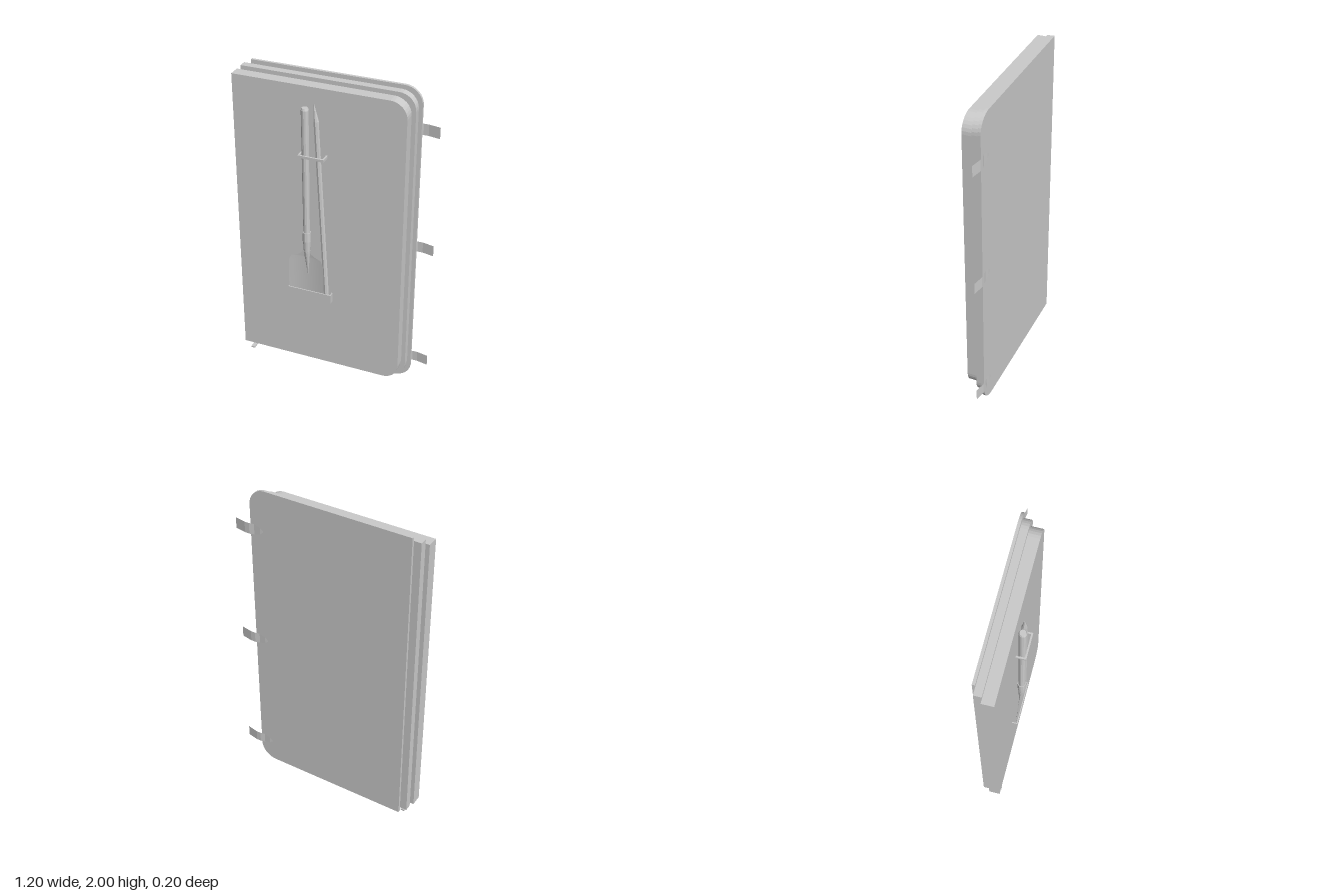
import * as THREE from 'three';

const grey = new THREE.MeshStandardMaterial({ color: 0xcccccc, flatShading: true, side: THREE.DoubleSide });
const smooth = new THREE.MeshStandardMaterial({ color: 0xcccccc, side: THREE.DoubleSide });

function add(parent, name, geometry, material = grey) {
  const mesh = new THREE.Mesh(geometry, material);
  mesh.name = name;
  parent.add(mesh);
  return mesh;
}

// Box given by its limits on each axis
function box(parent, name, x0, x1, y0, y1, z0, z1) {
  const mesh = add(parent, name, new THREE.BoxGeometry(x1 - x0, y1 - y0, z1 - z0));
  mesh.position.set((x0 + x1) / 2, (y0 + y1) / 2, (z0 + z1) / 2);
  return mesh;
}

// Door slab: square on the free side, rounded on the hinge side
function slab(parent, name, x0, x1, y0, y1, z0, z1, r) {
  const s = new THREE.Shape();
  s.moveTo(x0, y0);
  s.lineTo(x1 - r, y0);
  s.absarc(x1 - r, y0 + r, r, -Math.PI / 2, 0, false);
  s.absarc(x1 - r, y1 - r, r, 0, Math.PI / 2, false);
  s.lineTo(x0, y1);
  const g = new THREE.ExtrudeGeometry(s, { depth: z1 - z0, bevelEnabled: false, curveSegments: 4 });
  add(parent, name, g.translate(0, 0, z0));
}

// Three-sided strap standing off the door face
function strap(parent, name, x0, x1, y0, y1, zFront, t) {
  const g = new THREE.Group();
  g.name = name;
  box(g, name + 'Front', x0, x1, y0, y1, zFront - t, zFront);
  box(g, name + 'Right', x0, x0 + t, y0, y1, 0.035, zFront - t);
  box(g, name + 'Left', x1 - t, x1, y0, y1, 0.035, zFront - t);
  parent.add(g);
}

// Tapered rod between two points
function rod(parent, name, a, b, ra, rb, sides = 12) {
  const p = new THREE.Vector3(...a), q = new THREE.Vector3(...b);
  const d = q.clone().sub(p);
  const mesh = add(parent, name, new THREE.CylinderGeometry(rb, ra, d.length(), sides));
  mesh.position.copy(p).add(q).multiplyScalar(0.5);
  mesh.quaternion.setFromUnitVectors(new THREE.Vector3(0, 1, 0), d.normalize());
  return mesh;
}

// Curved hinge leaf with a pointed inner end
function hinge(parent, y) {
  const path = [[0.41, -0.096, 0.004], [0.43, -0.098, 0.022], [0.47, -0.097, 0.034],
    [0.5, -0.104, 0.035], [0.53, -0.104, 0.035], [0.565, -0.097, 0.035], [0.6, -0.09, 0.035]];
  const g = new THREE.PlaneGeometry(1, 1, path.length - 1, 1);
  const p = g.attributes.position;
  for (let i = 0; i < p.count; i++) {
    const [x, z, h] = path[i % path.length];
    p.setXYZ(i, x, y + Math.sign(p.getY(i)) * h, z);
  }
  g.computeVertexNormals();
  add(parent, 'hinge', g);
}

function shovel(parent) {
  const g = new THREE.Group();
  g.name = 'shovel';
  const x = -0.138;
  rod(g, 'handle', [x, 0.98, 0.068], [x, 1.82, 0.07], 0.02, 0.023);
  rod(g, 'handleEnd', [x, 1.82, 0.07], [x, 1.833, 0.07], 0.023, 0.018);
  rod(g, 'collar', [x, 0.96, 0.068], [x, 1.02, 0.068], 0.025, 0.024);
  rod(g, 'socket', [x, 0.88, 0.068], [x, 0.97, 0.068], 0.019, 0.024);
  rod(g, 'socketTip', [x, 0.71, 0.056], [x, 0.89, 0.068], 0.002, 0.02);
  // Dished blade: [height, half width, depth]
  const rows = [[0.89, 0.018, 0.068], [0.865, 0.032, 0.066], [0.845, 0.062, 0.064],
    [0.835, 0.095, 0.063], [0.8, 0.111, 0.062], [0.68, 0.115, 0.057], [0.55, 0.117, 0.053]];
  const n = 8;
  const blade = new THREE.PlaneGeometry(2, 1, n, rows.length - 1);
  const p = blade.attributes.position;
  for (let i = 0; i < p.count; i++) {
    const [y, w, z] = rows[Math.floor(i / (n + 1))];
    const u = p.getX(i);
    p.setXYZ(i, x - 0.008 + u * w, y, z + 0.8 * (u * w) ** 2);
  }
  blade.computeVertexNormals();
  add(g, 'blade', blade, smooth);
  parent.add(g);
}

export function createModel() {
  const model = new THREE.Group();
  model.name = 'door';

  // Stepped door panels
  slab(model, 'frontPanel', -0.6, 0.45, 0.055, 1.95, -0.03, 0.04, 0.1);
  slab(model, 'middlePanel', -0.575, 0.475, 0.028, 1.975, -0.075, -0.03, 0.1);
  slab(model, 'backPanel', -0.53, 0.497, 0, 2, -0.092, -0.075, 0.105);

  for (const y of [1.74, 0.97, 0.155]) hinge(model, y);

  // Small latch bar under the free corner
  box(model, 'latchBar', -0.56, -0.535, 0.01, 0.02, -0.075, 0.04);
  box(model, 'latchStem', -0.56, -0.535, 0.02, 0.03, -0.06, -0.04);

  // Tools and their holders
  shovel(model);
  rod(model, 'crowbar', [-0.018, 0.56, 0.054], [-0.073, 1.76, 0.064], 0.016, 0.016, 8);
  rod(model, 'crowbarTip', [-0.073, 1.76, 0.064], [-0.084, 1.86, 0.066], 0.016, 0.002, 8);
  strap(model, 'upperStrap', -0.175, -0.014, 1.527, 1.543, 0.1, 0.01);
  strap(model, 'lowerPocket', -0.265, 0.016, 0.54, 0.6, 0.075, 0.006);
  return model;
}
